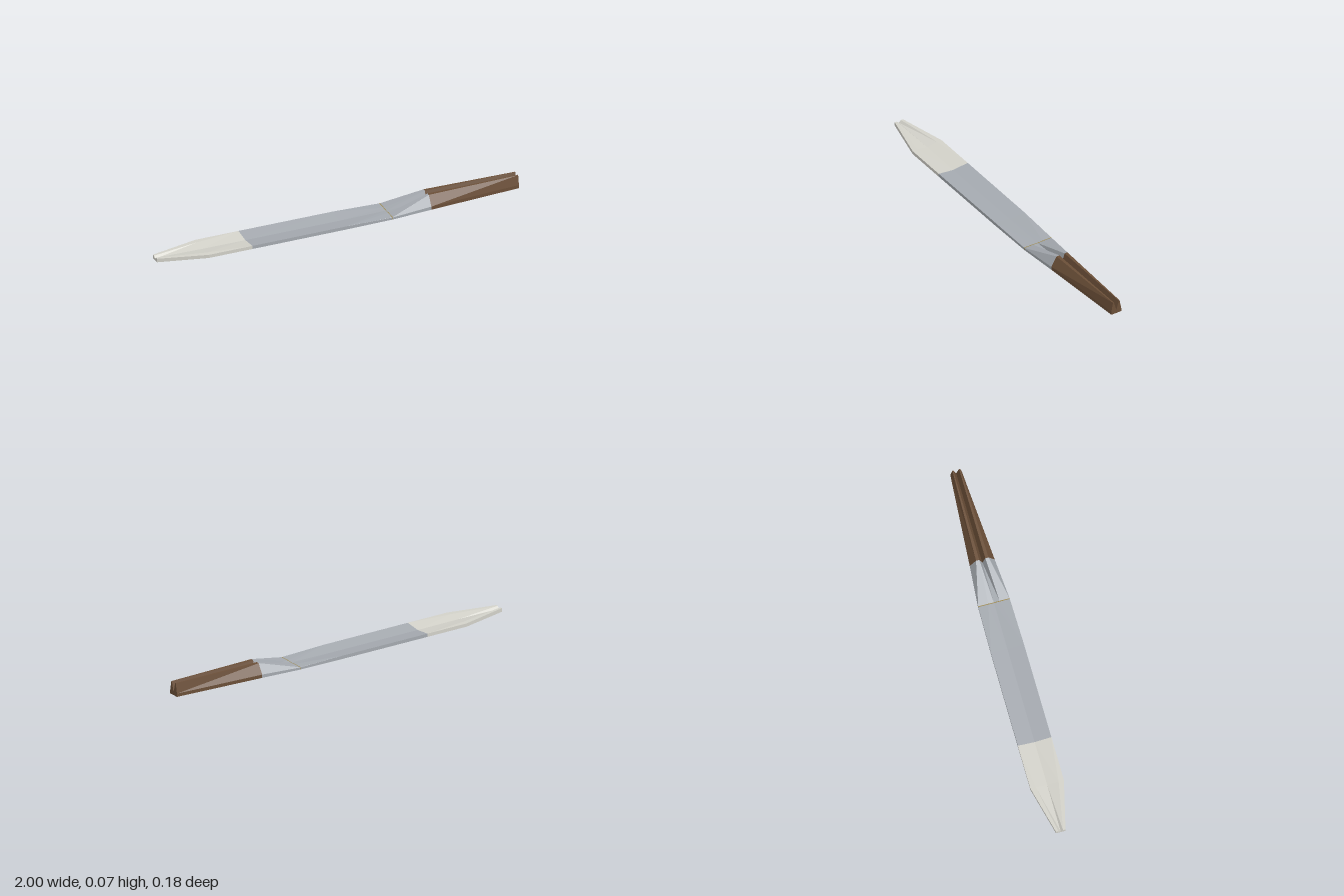
import * as THREE from 'three';

const paint = (name, color) => {
  const m = new THREE.MeshStandardMaterial({ color });
  m.name = name;
  return m;
};

// Cross-section along x: half width w, side height h, ridge from z = out to z = inn
// at height top, and a centre groove at height groove.
const section = (x, w, h, out, inn, top, groove) => {
  const half = [[w, 0], [w, h], [out, top], [inn, top]];
  const ring = [...half, [0, groove], ...half.slice().reverse().map(([z, y]) => [-z, y])];
  return ring.map(([z, y]) => [x, y, z]);
};

// Flat-faced loft through the sections, optionally capped at either end.
function loft(name, material, sections, capStart, capEnd) {
  const pos = [];
  const tri = (a, b, c) => pos.push(...a, ...b, ...c);
  const n = sections[0].length;
  for (let s = 0; s < sections.length - 1; s++) {
    const a = sections[s], b = sections[s + 1];
    for (let i = 0; i < n; i++) {
      const j = (i + 1) % n;
      tri(a[i], b[i], b[j]);
      tri(a[i], b[j], a[j]);
    }
  }
  // Caps fan out from the groove point, from which every corner is visible
  const cap = (r, flip) => {
    for (let k = 1; k < n - 1; k++) {
      const p = r[(4 + k) % n], q = r[(5 + k) % n];
      if (flip) tri(r[4], q, p); else tri(r[4], p, q);
    }
  };
  if (capStart) cap(sections[0], false);
  if (capEnd) cap(sections[sections.length - 1], true);
  const g = new THREE.BufferGeometry();
  g.setAttribute('position', new THREE.Float32BufferAttribute(pos, 3));
  g.computeVertexNormals();
  const mesh = new THREE.Mesh(g, material);
  mesh.name = name;
  return mesh;
}

export function createModel() {
  const pale = paint('paleEdgeSteel', 0xd2d1c9);
  const steel = paint('greySteel', 0xa5aab0);
  const brass = paint('brassLine', 0x9a8548);
  const brown = paint('brownGrip', 0x6b4f38);

  const tip = section(-1, 0.025, 0.018, 0.025, 0.012, 0.02, 0.008);
  const shoulder = section(-0.74, 0.088, 0.018, 0.088, 0.06, 0.018, 0.009);
  const bladeMid = section(-0.5, 0.088, 0.018, 0.088, 0.087, 0.018, 0.008);
  const bladeEnd = section(0.02, 0.087, 0.018, 0.087, 0.086, 0.018, 0.008);
  const neckA = section(0.276, 0.083, 0.012, 0.082, 0.03, 0.013, 0.011);
  const neckB = section(0.28, 0.083, 0.012, 0.082, 0.03, 0.013, 0.011);
  const gripStart = section(0.5, 0.065, 0.018, 0.033, 0.016, 0.07, 0.018);
  const gripEnd = section(1, 0.03, 0.018, 0.02, 0.015, 0.07, 0.018);

  const group = new THREE.Group();
  group.name = 'groovedBlade';
  group.add(
    loft('bladeTip', pale, [tip, shoulder, bladeMid], true, false),
    loft('blade', steel, [bladeMid, bladeEnd, neckA], false, false),
    loft('neckLine', brass, [neckA, neckB], false, false),
    loft('neck', steel, [neckB, gripStart], false, false),
    loft('handle', brown, [gripStart, gripEnd], false, true),
  );
  return group;
}
